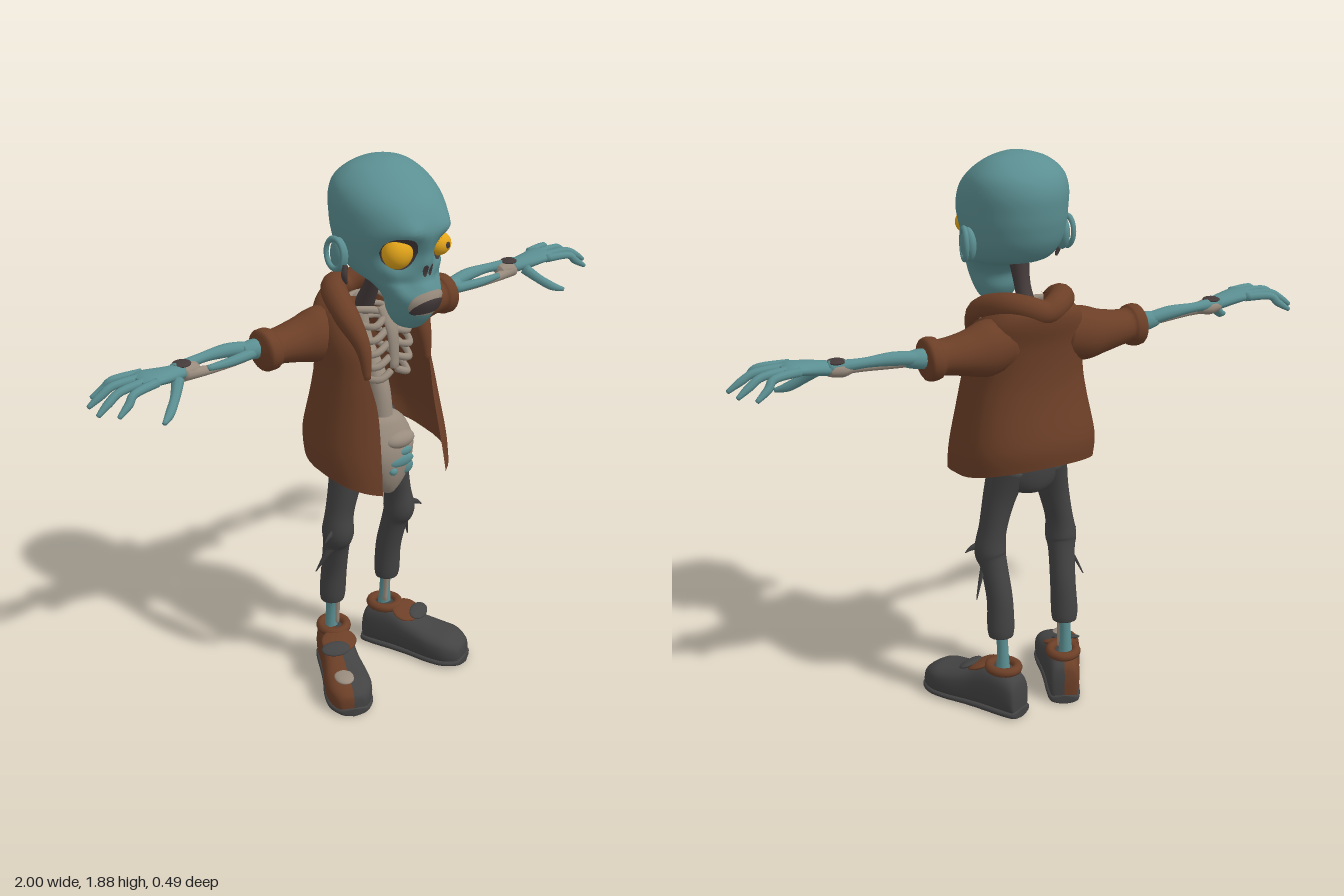
import * as THREE from 'three';

const mat = (name, color, side = THREE.FrontSide) => {
  const m = new THREE.MeshStandardMaterial({ color, side });
  m.name = name;
  return m;
};

// Catmull-Rom through rows of numbers, k steps per span
function smooth(rows, k) {
  const out = [], n = rows.length - 1;
  for (let i = 0; i < n; i++) for (let s = 0; s < k; s++) {
    const t = s / k, a = rows[Math.max(i - 1, 0)], b = rows[i], c = rows[i + 1], d = rows[Math.min(i + 2, n)];
    out.push(b.map((p, q) => {
      const cubic = 3 * (p - c[q]) + d[q] - a[q];
      const square = 2 * a[q] - 5 * p + 4 * c[q] - d[q];
      return p + 0.5 * t * (c[q] - a[q] + t * (square + t * cubic));
    }));
  }
  out.push(rows[n]);
  return out;
}

// Skin over rings of [x,y,z]; isSecond(fraction) sends faces to a second material
function loft(rings, closed = true, isSecond = null) {
  const n = rings[0].length, sets = [[], []];
  for (let i = 0; i < rings.length - 1; i++) for (let j = 0; j < (closed ? n : n - 1); j++) {
    const a = i * n + j, b = i * n + (j + 1) % n;
    sets[isSecond && isSecond(j / n) ? 1 : 0].push(a, b, b + n, a, b + n, a + n);
  }
  const g = new THREE.BufferGeometry();
  g.setAttribute('position', new THREE.Float32BufferAttribute(rings.flat(2), 3));
  g.setIndex([...sets[0], ...sets[1]]);
  if (isSecond) {
    g.addGroup(0, sets[0].length, 0);
    g.addGroup(sets[0].length, sets[1].length, 1);
  }
  g.computeVertexNormals();
  return g;
}

// Tapered tube; rows are [x, y, z, radiusA, radiusB = radiusA]
function limb(rows, sides = 12) {
  const r = smooth(rows.map(p => p.length === 5 ? p : [...p, p[3]]), 5), n = r.length - 1;
  const P = r.map(p => new THREE.Vector3(...p.slice(0, 3)));
  const span = P[n].clone().sub(P[0]);
  const ref = Math.abs(span.y) > 0.7 * span.length() ? new THREE.Vector3(0, 0, 1) : new THREE.Vector3(0, 1, 0);
  const rings = [];
  r.forEach((p, i) => {
    const T = P[Math.min(i + 1, n)].clone().sub(P[Math.max(i - 1, 0)]).normalize();
    const u = ref.clone().addScaledVector(T, -ref.dot(T)).normalize(), v = T.clone().cross(u);
    const ring = Array.from({ length: sides }, (_, j) => {
      const t = j / sides * Math.PI * 2;
      return P[i].clone().addScaledVector(u, p[3] * Math.cos(t)).addScaledVector(v, p[4] * Math.sin(t)).toArray();
    });
    const tip = d => Array.from({ length: sides }, () => P[i].clone().addScaledVector(T, d * Math.min(p[3], p[4])).toArray());
    if (i === 0) rings.push(tip(-0.3));
    rings.push(ring);
    if (i === n) rings.push(tip(0.3));
  });
  return loft(rings);
}

// Horizontal ring from a row [y, halfWidth, back, front]
function ringPoint([y, rx, zb, zf], t, power = 1) {
  const zc = zb + (zf - zb) * 0.45, c = Math.cos(t), f = Math.sign(c) * Math.abs(c) ** power;
  return [rx * Math.sin(t), y, zc + f * (c > 0 ? zf - zc : zc - zb)];
}
const stack = rows => loft(rows.map(r => Array.from({ length: 24 }, (_, j) => ringPoint(r, j / 12 * Math.PI))));

// Skull profile, with sculpted sockets, brows and cheekbones
const HEAD = smooth([[1.372, 0, .13, .15], [1.376, .035, .1, .17], [1.395, .058, .08, .19], [1.43, .075, .06, .215], [1.48, .09, .05, .235],
  [1.52, .108, 0, .225], [1.55, .13, -.1, .21], [1.6, .152, -.145, .21], [1.66, .165, -.165, .23], [1.71, .169, -.172, .235],
  [1.77, .166, -.172, .205], [1.82, .146, -.15, .145], [1.86, .1, -.1, .08], [1.88, .04, -.05, .03], [1.883, 0, -.01, -.01]], 5);
const BUMPS = [[.085, 1.635, .045, -.045], [.075, 1.71, .035, .022], [.11, 1.57, .03, .018], [0, 1.6, .025, .012], [.06, 1.53, .025, -.015]];
function sculpt(row, t, off = 0) {
  const p = ringPoint(row, t);
  if (Math.cos(t) > 0) for (const [x, y, w, d] of BUMPS)
    p[2] += d * Math.cos(t) * Math.exp(-((Math.abs(p[0]) - x) ** 2 + (p[1] - y) ** 2) / (w * w));
  return [p[0] + off * Math.sin(t), p[1], p[2] + off * Math.cos(t)];
}
// Thin lens-shaped plate that follows the face
function headPatch(tc, tw, yc, h, off, bend = 0) {
  return loft(Array.from({ length: 9 }, (_, i) => Array.from({ length: 17 }, (_, j) => {
    const u = j / 8 - 1, y = yc + bend * u * u + h * (i / 4 - 1) * Math.sqrt(1 - u * u);
    const k = Math.max(1, HEAD.findIndex(r => r[0] >= y)), a = HEAD[k - 1], b = HEAD[k], f = (y - a[0]) / (b[0] - a[0]);
    return sculpt(a.map((q, m) => q + (b[m] - q) * f), tc + tw * u, off);
  })), false);
}

export function createModel() {
  const root = new THREE.Group();
  root.name = 'undeadFigure';
  const skin = mat('tealSkin', 0x5b8f92), coat = mat('brownCloth', 0x6c3f27, THREE.DoubleSide), cloth = mat('charcoalCloth', 0x434344),
    bone = mat('bone', 0x998c7e), eye = mat('yellowEye', 0xe3a51a), flesh = mat('darkFlesh', 0x443a3a);
  const add = (name, geo, m, pos = [0, 0, 0], scale = [1, 1, 1], parent = root) => {
    const mesh = new THREE.Mesh(geo, m);
    mesh.name = name;
    mesh.position.set(...pos);
    mesh.scale.set(...scale);
    parent.add(mesh);
    return mesh;
  };
  const ball = new THREE.SphereGeometry(1, 24, 16);

  // Head
  add('head', loft(HEAD.map(r => Array.from({ length: 48 }, (_, j) => sculpt(r, j / 24 * Math.PI)))), skin);
  add('lips', headPatch(0, .85, 1.475, .04, .004, -.012), bone);
  add('mouth', headPatch(0, .8, 1.468, .024, .008, -.018), flesh);
  for (const s of [-1, 1]) {
    add('eyeSocket', headPatch(s * .55, .33, 1.64, .055, .003), flesh);
    add('nostril', headPatch(s * .07, .06, 1.578, .02, .005), flesh);
    add('ear', ball, skin, [s * .168, 1.605, -.005], [.022, .055, .036]);
    const rim = add('earRim', new THREE.TorusGeometry(.04, .009, 8, 24), skin, [s * .184, 1.61, -.008], [.8, 1.2, 1]);
    rim.rotation.y = Math.PI / 2 - s * .25;
  }
  add('rightEye', ball, eye, [-.083, 1.642, .17], [.05, .052, .045]);
  add('leftEye', ball, eye, [.082, 1.632, .165], [.042, .038, .042]);
  add('pupil', ball, flesh, [.088, 1.634, .205], [.009, .011, .004]);
  add('tornFlap', limb([[-.172, 1.58, .03, .008], [-.18, 1.55, .035, .01], [-.168, 1.52, .03, .004]], 6), flesh);
  add('neck', limb([[0, 1.56, -.02, .035], [0, 1.46, -.05, .026], [0, 1.36, -.1, .035]]), flesh);

  // Open coat, its hem dipping to the front
  const coatRows = smooth([[.86, .232, -.245, .2, .62], [.95, .232, -.25, .18, .58], [1.1, .205, -.222, .145, .6], [1.2, .19, -.21, .12, .72],
    [1.3, .187, -.212, .09, .72], [1.37, .168, -.225, .045, .75], [1.41, .135, -.225, .01, .8], [1.43, .1, -.21, -.02, .8]], 5);
  add('coatBody', loft(coatRows.map(r => Array.from({ length: 41 }, (_, j) => {
    const t = r[4] + (2 * Math.PI - 2 * r[4]) * j / 40, p = ringPoint(r, t, .75), low = Math.max(0, 1 - (r[0] - .86) / .3);
    p[1] -= low * .05 * Math.cos(t);
    return p;
  })), false), coat);
  const half = [[.125, 1.2, .075, .012], [.125, 1.3, .055, .025], [.135, 1.385, -.01, .04], [.105, 1.425, -.11, .043], [.055, 1.425, -.175, .042]];
  const other = half.map(([x, ...q]) => [-x, ...q]).reverse();
  add('collar', limb([...half, [0, 1.41, -.195, .04], ...other], 14), coat);

  // Ribcage, spine and pelvis
  add('spine', limb([[0, 1.4, -.13, .028], [0, 1.25, -.1, .03], [0, 1.12, -.02, .033], [0, .98, 0, .036]]), bone);
  add('sternum', limb([[0, 1.4, .015, .012, .035], [0, 1.32, .05, .012, .022], [0, 1.2, .06, .01, .016]]), bone);
  for (const s of [-1, 1]) {
    add('collarbone', limb([[s * .02, 1.385, .01, .013], [s * .09, 1.4, -.01, .012], [s * .15, 1.38, -.07, .014]], 8), bone);
    for (let i = 0; i < 5; i++) {
      const y = 1.37 - i * .045, w = .095 + .02 * Math.sin(i * .8);
      add('rib', limb([[s * .012, y, .025 + i * .008, .012], [s * w * .65, y - .022, .035 + i * .004, .012], [s * w, y - .015, -.03, .011],
        [s * w * .75, y + .02, -.11, .01], [0, y + .03, -.13, .009]], 8), bone);
    }
  }
  add('pelvis', stack(smooth([[.73, 0, .02, .03], [.738, .025, 0, .05], [.79, .07, -.03, .075], [.86, .1, -.05, .088], [.92, .108, -.06, .082],
    [.98, .085, -.06, .06], [1.01, .05, -.05, .04], [1.012, 0, -.01, 0]], 4)), bone);
  add('vertebra', ball, bone, [.02, .935, .06], [.06, .03, .035]);
  for (const [x, y, z, w, h] of [[.015, .865, .08, .05, .022], [.045, .83, .068, .028, .026], [-.02, .835, .08, .016, .014], [.03, .895, .077, .03, .016]])
    add('skinPatch', ball, skin, [x, y, z], [w, h, .012]);

  // Trousers
  add('hips', stack(smooth([[.78, 0, -.1, -.08], [.79, .07, -.15, -.01], [.85, .12, -.17, .01], [.95, .12, -.17, -.01],
    [.99, .1, -.15, -.03], [.995, 0, -.1, -.09]], 4)), cloth);

  for (const s of [-1, 1]) {
    // Leg
    add('trouserLeg', limb([[s * .07, .88, -.085, .08, .065], [s * .1, .77, -.075, .062, .052], [s * .125, .66, -.075, .053, .045], [s * .135, .58, -.075, .058, .052],
      [s * .13, .53, -.09, .047, .045], [s * .122, .42, -.115, .046, .043], [s * .123, .32, -.125, .044, .046], [s * .123, .285, -.127, .04, .042]], 16), cloth);
    add('kneeRag', limb([[s * .15, .6, -.06, .02, .008], [s * .19, .59, -.05, .01, .005], [s * .212, .575, -.045, .002]], 6), cloth);
    add('calfRag', limb([[s * .155, .535, -.07, .016, .008], [s * .18, .49, -.09, .011, .005], [s * .205, .43, -.11, .002]], 6), cloth);
    add('shin', limb([[s * .122, .33, -.125, .026], [s * .122, .24, -.135, .019], [s * .122, .11, -.14, .028]]), skin);
    add('shinBone', limb([[s * .112, .3, -.113, .01], [s * .11, .18, -.12, .009]], 6), bone);

    // Shoe, toes turned outward
    const shoe = new THREE.Group();
    shoe.name = s < 0 ? 'rightShoe' : 'leftShoe';
    shoe.position.set(s * .168, 0, -.022);
    shoe.rotation.y = s * .44;
    root.add(shoe);
    const shoeRows = smooth([[-.195, 0, .06], [-.193, .035, .1], [-.18, .05, .14], [-.13, .057, .165], [-.07, .06, .165], [0, .066, .135],
      [.08, .078, .115], [.14, .076, .105], [.185, .05, .08], [.195, .02, .06], [.197, 0, .04]], 4);
    const shell = (grow, height) => shoeRows.map(([z, w, h]) => Array.from({ length: 24 }, (_, j) => {
      const t = j / 12 * Math.PI, c = Math.cos(t), q = Math.sin(t), H = height || h;
      return [w * grow * Math.sign(c) * Math.abs(c) ** .7, H / 2 + H / 2 * Math.sign(q) * Math.abs(q) ** .7, z * grow];
    }));
    add('shoeUpper', loft(shell(1), true, f => s < 0 && f >= .24 && f < .72), [cloth, coat], undefined, undefined, shoe);
    add('shoeSole', loft(shell(1.03, .03)), cloth, undefined, undefined, shoe);
    add('ankleCollar', new THREE.TorusGeometry(.045, .016, 10, 24).rotateX(Math.PI / 2), coat, [0, .165, -.12], [1, 1, 1.1], shoe);
    const flap = add('shoeTongue', ball, coat, [0, .152, -.035], [.062, .012, .05], shoe);
    flap.rotation.x = .38;
    const strap = add('shoeStrap', ball, cloth, [s * .02, .148, .005], [.05, .01, .03], shoe);
    strap.rotation.x = .4;
    if (s < 0) add('wornPatch', ball, bone, [-.015, .103, .11], [.035, .012, .045], shoe);

    // Sleeve and arm
    add('sleeve', limb([[s * .1, 1.315, -.12, .085, .08], [s * .18, 1.3, -.125, .088, .082], [s * .25, 1.298, -.13, .07, .07], [s * .33, 1.3, -.13, .056, .062],
      [s * .35, 1.3, -.13, .067, .07], [s * .38, 1.3, -.13, .068, .07], [s * .39, 1.3, -.13, .055, .058]], 18), coat);
    add('elbow', limb([[s * .36, 1.305, -.135, .03], [s * .41, 1.31, -.14, .032], [s * .45, 1.312, -.14, .024]]), skin);
    add('forearmSkin', limb([[s * .42, 1.315, -.145, .022], [s * .5, 1.328, -.15, .022], [s * .6, 1.33, -.148, .016], [s * .7, 1.325, -.13, .024]]), skin);
    add('forearmBone', limb([[s * .42, 1.305, -.13, .02], [s * .5, 1.3, -.118, .014], [s * .6, 1.305, -.11, .015], [s * .68, 1.315, -.115, .024]]), bone);
    add('forearmStrand', limb([[s * .42, 1.305, -.125, .018], [s * .52, 1.31, -.105, .015], [s * .6, 1.315, -.1, .01]], 8), skin);
    add('wristBone', limb([[s * .625, 1.318, -.128, .018, .025], [s * .66, 1.318, -.128, .027, .034], [s * .7, 1.32, -.125, .022, .03]]), bone);
    add('wristWound', ball, flesh, [s * .675, 1.342, -.13], [.03, .008, .028]);

    // Hand
    add('palm', limb([[s * .68, 1.32, -.125, .022, .03], [s * .75, 1.33, -.115, .022, .042], [s * .81, 1.338, -.112, .018, .055], [s * .84, 1.335, -.112, .012, .052]], 16), skin);
    for (const [z0, z1, z2, x] of [[-.156, -.175, -.2, .95], [-.127, -.137, -.148, .99], [-.098, -.09, -.08, .997], [-.07, -.05, -.032, .955]])
      add('finger', limb([[s * .8, 1.338, z0, .015], [s * (.82 + x) / 2, 1.335, z1, .013], [s * (x - .04), 1.312, (z1 + z2) / 2, .013], [s * x, 1.285, z2, .007]], 8), skin);
    add('thumb', limb([[s * .715, 1.315, -.09, .02], [s * .75, 1.28, -.055, .016], [s * .79, 1.25, -.025, .015], [s * .825, 1.237, -.002, .007]], 8), skin);
  }
  return root;
}
